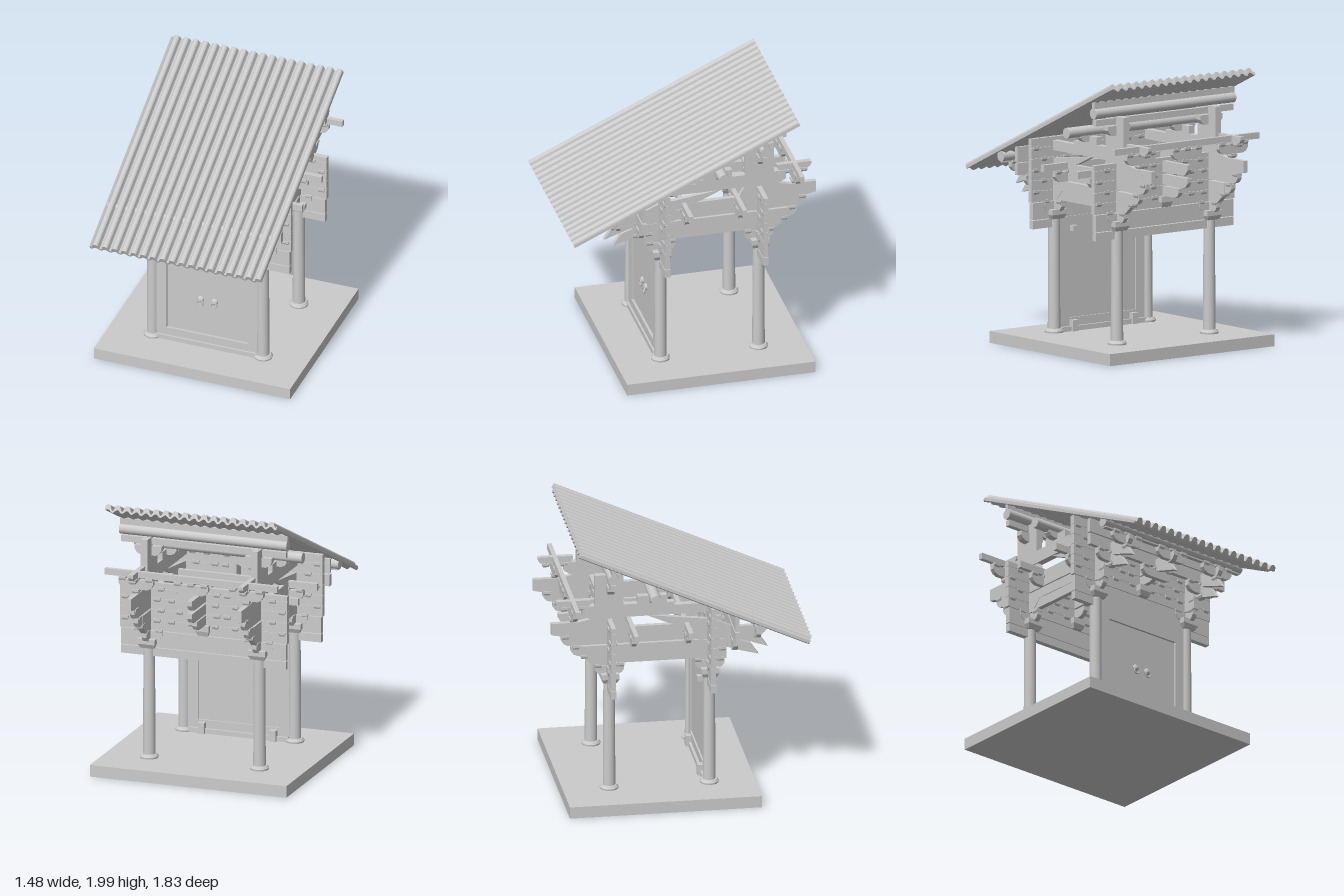
import * as THREE from 'three';

const mat = new THREE.MeshStandardMaterial({ color: 0xcccccc });
const flat = new THREE.MeshStandardMaterial({ color: 0xcccccc, flatShading: true });
const FRONT = 0.21, BACK = -0.505, COL = 0.415;

export function createModel() {
  const root = new THREE.Group();

  const add = (name, geo, x = 0, y = 0, z = 0, m = mat) => {
    const mesh = new THREE.Mesh(geo, m);
    mesh.name = name;
    mesh.position.set(x, y, z);
    root.add(mesh);
    return mesh;
  };
  // Box given by its extents
  const box = (name, x0, x1, y0, y1, z0, z1) =>
    add(name, new THREE.BoxGeometry(x1 - x0, y1 - y0, z1 - z0), (x0 + x1) / 2, (y0 + y1) / 2, (z0 + z1) / 2);
  // Flat plate drawn in (z, y), standing across the x axis
  const plateZ = (name, x, pts, t = 0.036) => {
    const shape = new THREE.Shape(pts.map(([z, y]) => new THREE.Vector2(-z, y)));
    const geo = new THREE.ExtrudeGeometry(shape, { depth: t, bevelEnabled: false });
    geo.translate(0, 0, -t / 2);
    geo.rotateY(Math.PI / 2);
    return add(name, geo, x);
  };
  // Bracket arm outline: flat top, lower ends cut back in two facets
  const armPts = (a, b, y, h) => [[a, y + h], [a, y + h * 0.55], [a + h * 0.25, y + h * 0.18], [a + h * 0.65, y],
    [b - h * 0.65, y], [b - h * 0.25, y + h * 0.18], [b, y + h * 0.55], [b, y + h]];
  const armZ = (x, z0, z1, y, h = 0.07) => plateZ('bracketArm', x, armPts(z0, z1, y, h));
  const armX = (x, z, half, y, h = 0.07, t = 0.034) => {
    const shape = new THREE.Shape(armPts(-half, half, y, h).map(p => new THREE.Vector2(...p)));
    const geo = new THREE.ExtrudeGeometry(shape, { depth: t, bevelEnabled: false });
    add('crossArm', geo, x, 0, z - t / 2);
  };
  // Square bearing block, tapered at its foot
  const block = (x, y, z, w = 0.052, h = 0.03) => {
    const r = w * Math.SQRT1_2;
    const pts = [[0, 0], [r * 0.75, 0], [r, h * 0.45], [r, h], [0, h]].map(p => new THREE.Vector2(...p));
    const geo = new THREE.LatheGeometry(pts, 4);
    geo.rotateY(Math.PI / 4);
    add('bearingBlock', geo, x, y, z, flat);
  };

  // Platform
  box('platform', -0.74, 0.74, 0, 0.085, -0.835, 0.535);

  // Columns with moulded bases and square capitals
  const base = [[0, 0], [0.066, 0], [0.068, 0.012], [0.056, 0.03], [0, 0.03]].map(p => new THREE.Vector2(...p));
  for (const z of [FRONT, BACK]) for (const x of [-COL, COL]) {
    add('column', new THREE.CylinderGeometry(0.041, 0.045, 0.815, 24), x, 0.4925, z);
    add('columnBase', new THREE.LatheGeometry(base, 24), x, 0.085, z, flat);
    block(x, 0.9, z, 0.13, 0.07);
  }

  // Door wall: frame with an opening, recessed leaf, sill
  const frame = new THREE.Shape();
  frame.moveTo(-0.38, 0.085).lineTo(0.38, 0.085).lineTo(0.38, 0.905).lineTo(-0.38, 0.905).closePath();
  const opening = new THREE.Path();
  opening.moveTo(-0.305, 0.18).lineTo(-0.305, 0.77).lineTo(0.305, 0.77).lineTo(0.305, 0.18).closePath();
  frame.holes.push(opening);
  add('doorFrame', new THREE.ExtrudeGeometry(frame, { depth: 0.05, bevelEnabled: false }), 0, 0, 0.185);
  box('doorLeaf', -0.31, 0.31, 0.175, 0.775, 0.197, 0.217);
  box('sill', -0.38, 0.38, 0.085, 0.12, 0.165, 0.25);
  for (const s of [-1, 1]) {
    box('hingeBlock', s * 0.27 - 0.02, s * 0.27 + 0.02, 0.8, 0.84, 0.145, 0.19);
    box('hingeSocket', s * 0.27 - 0.025, s * 0.27 + 0.025, 0.085, 0.165, 0.145, 0.19);
    const boss = add('knockerBoss', new THREE.SphereGeometry(0.025, 16, 8), s * 0.052, 0.468, 0.219);
    boss.scale.z = 0.7;
    add('knockerRing', new THREE.TorusGeometry(0.021, 0.005, 6, 20), s * 0.052, 0.443, 0.234);
  }

  // Stacked log walls over the columns, with bearing blocks in the joints
  const wall = (z, top) => {
    box('tieBeam', -0.62, 0.62, 0.84, 0.9, z - 0.02, z + 0.02);
    box('architrave', -0.62, 0.62, 0.905, 1.025, z - 0.018, z + 0.018);
    for (let y = 1.03, i = 0; y < top - 0.02; y += 0.078, i++) {
      box('wallCourse', -0.63, 0.63, y, Math.min(y + 0.076, top), z - 0.017, z + 0.017);
      const offsets = i % 2 ? [0.1, 0.18, 0.32, 0.52] : [0.09, 0.24, 0.35, 0.59];
      if (y + 0.08 < top) for (const x of offsets) for (const s of [-1, 1]) block(s * x, y + 0.055, z);
    }
  };
  wall(FRONT, 1.485);
  wall(BACK, 1.38);

  // Bracket sets over the columns
  for (const x of [-COL, COL]) {
    for (const z of [FRONT, BACK]) {
      armZ(x, z - 0.105, z + 0.105, 0.955);
      armX(x, z, 0.105, 0.955, 0.07, 0.046);
      for (const d of [-0.08, 0.08]) { block(x + d, 1.01, z); block(x, 1.01, z + d); }
    }
    // Beams tying front and back
    box('sideBeam', x - 0.018, x + 0.018, 1.04, 1.11, BACK, FRONT);
    plateZ('archedBeam', x, [[0.33, 1.03], [0.33, 1.18], [-0.7, 1.18], [-0.7, 1.1], [-0.62, 1.03],
      [-0.45, 1.03], [-0.38, 1.11], [0.09, 1.11], [0.16, 1.03]], 0.042);
    armZ(x, -0.78, 0.42, 1.11);
    armZ(x, -0.85, 0.6, 1.19, 0.075);
    // Long beam with a projecting nose
    plateZ('noseBeam', x, [[0.04, 1.265], [0.04, 1.31], [-0.36, 1.31], [-0.4, 1.39], [-0.62, 1.39],
      [-0.73, 1.365], [-0.92, 1.365], [-0.92, 1.28], [-0.85, 1.265]]);
    plateZ('mainBeam', x, [[0.27, 1.39], [0.27, 1.46], [-0.04, 1.46], [-0.04, 1.485], [-0.7, 1.485], [-0.7, 1.42], [-0.65, 1.39]], 0.05);
    // Slanting lever arms with pointed noses
    plateZ('leverArm', x, [[0.625, 1.1], [0.57, 1.18], [0.23, 1.33], [-0.24, 1.39], [-0.08, 1.32], [0.45, 1.16]], 0.034);
    plateZ('leverArm', x, [[0.56, 1.045], [0.5, 1.13], [0.1, 1.28], [0.1, 1.19], [0.43, 1.08]], 0.034);
    armZ(x, -0.885, -0.635, 1.48, 0.05);
    for (const [z, y] of [[-0.685, 1.085], [-0.745, 1.16], [-0.82, 1.24], [-0.765, 1.37], [0.3, 1.085], [0.39, 1.085], [0.55, 1.17],
      [-0.7, 1.455], [-0.83, 1.455]]) block(x, y, z);
    // Struts under the purlins
    box('lowStrut', x - 0.025, x + 0.025, 1.48, 1.54, -0.305, -0.095);
    box('tallStrut', x - 0.025, x + 0.025, 1.485, 1.715, -0.61, -0.405);
    armX(x, BACK, 0.1, 1.58, 0.07, 0.05);
    armX(x, -0.2, 0.1, 1.5, 0.06, 0.05);
  }

  // Middle bracket sets of both walls
  armZ(0, FRONT - 0.1, FRONT + 0.17, 1.11);
  armZ(0, FRONT - 0.17, 0.6, 1.19);
  block(0, 1.03, FRONT + 0.01, 0.1, 0.08);
  plateZ('leverArm', 0, [[0.6, 1.11], [0.55, 1.18], [0.1, 1.38], [0.1, 1.3], [0.43, 1.16]], 0.034);
  block(0, 1.03, BACK, 0.1, 0.08);
  armZ(0, BACK - 0.2, BACK + 0.12, 1.11);
  armZ(0, BACK - 0.3, BACK + 0.18, 1.19, 0.075);
  armZ(0, BACK - 0.3, BACK + 0.12, 1.28, 0.08);

  // Cross arms and long ties parallel to the walls
  const tieRow = (z, armY, tieY0, tieY1, half) => {
    for (const x of [-COL, 0, COL]) {
      armX(x, z, 0.13, armY);
      for (const d of [-0.1, 0, 0.1]) block(x + d, armY + 0.058, z);
    }
    if (tieY1) box('longTie', -half, half, tieY0, tieY1, z - 0.016, z + 0.016);
  };
  tieRow(0.38, 1.12, 1.205, 1.29, 0.62);
  box('eavesTie', -0.62, 0.62, 1.3, 1.405, 0.367, 0.393);
  tieRow(0.545, 1.2, 1.275, 1.3, 0.62);
  tieRow(0.045, 1.185, 1.27, 1.32, 0.65);
  tieRow(-0.345, 1.185, 1.27, 1.32, 0.65);
  tieRow(-0.765, 1.4, 1.485, 1.53, 0.65);

  // Round purlins
  for (const [z, y] of [[0.545, 1.32], [-0.2, 1.575], [BACK, 1.75]]) {
    const purlin = add('purlin', new THREE.CylinderGeometry(0.038, 0.038, 1.26, 20), 0, y, z);
    purlin.rotation.z = Math.PI / 2;
  }
  box('ridgeBatten', -0.63, 0.63, 1.78, 1.83, BACK - 0.014, BACK + 0.014);
  box('purlinTie', -0.62, 0.62, 1.66, 1.705, BACK - 0.018, BACK + 0.018);

  // Tiled roof slope: rounded cover tiles over hollow troughs, swept down the slope
  const pitch = 0.0722, r = 0.0225, left = -0.635, right = 0.66;
  const top = [[left, 0.03], [left + 0.012, 0.018]], under = [[left, 0.008]];
  for (let i = 0; i < 18; i++) {
    const c = -0.59 + i * pitch;
    for (let k = 0; k <= 8; k++) {
      const a = Math.PI * (1 - k / 8);
      top.push([c + r * Math.cos(a), 0.037 + r * Math.sin(a)]);
    }
    if (i < 17) for (const u of [0.4, 0.5, 0.6]) top.push([c + u * pitch, u === 0.5 ? 0.016 : 0.02]);
    for (let k = -3; k < 3; k++) {
      const x = c + k * pitch / 6;
      if (x > left && x < right) under.push([x, 0.012 + 0.012 * Math.cos(k * Math.PI / 3)]);
    }
  }
  under.push([right, 0.018]);
  const roofShape = new THREE.Shape([...under, ...top.reverse()].map(p => new THREE.Vector2(...p)));
  const roof = add('tiledRoof', new THREE.ExtrudeGeometry(roofShape, { depth: 1.81, bevelEnabled: false }), 0, 1.935, -0.755);
  roof.rotation.x = Math.atan(0.462);

  return root;
}
